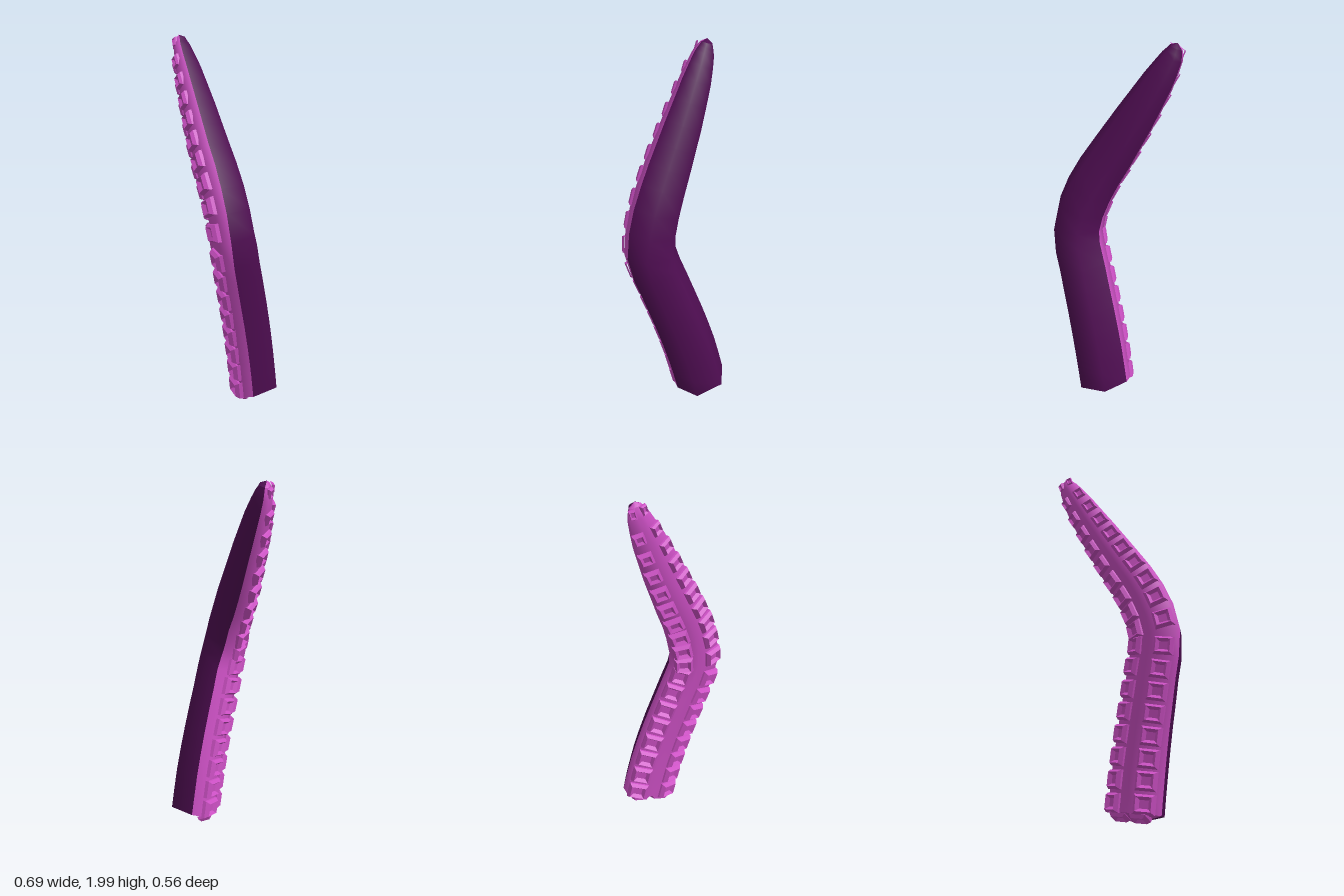
import * as THREE from 'three';

// Spine stations: x, y, z, radius
const STATIONS = [
  [0.13, 0.08, -0.135, 0.148], [0.145, 0.3, -0.087, 0.147], [0.165, 0.53, -0.022, 0.143],
  [0.188, 0.77, 0.057, 0.139], [0.202, 0.98, 0.12, 0.137], [0.13, 1.2, 0.118, 0.132],
  [0.015, 1.4, 0.093, 0.122], [-0.1, 1.6, 0.06, 0.106], [-0.212, 1.8, 0.029, 0.083],
  [-0.28, 1.93, 0.011, 0.056], [-0.297, 1.98, 0.003, 0.032],
];
// Half profiles across the arm, in radii: (width, towards the sucker side)
const BACK = [[1, 0], [0.53, -0.9], [-0.53, -0.9], [-1, 0]];
const BELLY = [[-1, 0], [-0.97, 0.44], [-0.3, 0.7], [0, 0.66], [0.3, 0.7], [0.97, 0.44], [1, 0]];

const spine = new THREE.CatmullRomCurve3(STATIONS.map(([x, y, z]) => new THREE.Vector3(x, y, z)));

// Local frame and radius of the arm at curve parameter t
function frameAt(t) {
  const f = t * (STATIONS.length - 1);
  const i = Math.min(Math.floor(f), STATIONS.length - 2);
  const tan = spine.getTangent(t);
  const out = new THREE.Vector3(-1, 0, 1).normalize();
  out.addScaledVector(tan, -out.dot(tan)).normalize();
  return {
    pos: spine.getPoint(t), tan, out,
    wide: new THREE.Vector3().crossVectors(tan, out),
    r: THREE.MathUtils.lerp(STATIONS[i][3], STATIONS[i + 1][3], f - i),
  };
}

const place = (f, w, n) =>
  f.pos.clone().addScaledVector(f.wide, w * f.r).addScaledVector(f.out, n * f.r);

// Skin a list of equally long rows of points
function loft(rows) {
  const m = rows[0].length;
  const index = [];
  for (let i = 0; i < rows.length - 1; i++) {
    for (let j = 0; j < m - 1; j++) {
      const a = i * m + j, c = a + m;
      index.push(a, a + 1, c, a + 1, c + 1, c);
    }
  }
  const geo = new THREE.BufferGeometry().setFromPoints(rows.flat());
  geo.setIndex(index);
  geo.computeVertexNormals();
  return geo;
}

export function createModel() {
  const group = new THREE.Group();
  const dark = new THREE.MeshStandardMaterial({ color: 0x4e0d51 });
  const pink = new THREE.MeshStandardMaterial({ color: 0xcc50c4 });
  const suckerPink = pink.clone();
  suckerPink.flatShading = true;

  const add = (geo, mat, name) => {
    const mesh = new THREE.Mesh(geo, mat);
    mesh.name = name;
    group.add(mesh);
    return mesh;
  };

  // Dark back and pink belly, each with its end caps
  const frames = Array.from({ length: 21 }, (_, i) => frameAt(i / 20));
  const root = new THREE.Vector3(0.125, 0.035, -0.15);
  const tip = new THREE.Vector3(-0.304, 2.0, 0.004);
  for (const [name, profile, mat] of [['back', BACK, dark], ['belly', BELLY, pink]]) {
    const rows = frames.map((f) => profile.map(([w, n]) => place(f, w, n)));
    add(loft(rows), mat, name + 'Skin');
    add(loft([profile.map(() => root), rows[0]]), mat, name + 'RootCap');
    add(loft([rows[rows.length - 1], profile.map(() => tip)]), mat, name + 'TipCap');
  }

  // Square sucker with sloped walls and a sunken middle; unit half width and height
  const suckerGeo = new THREE.LatheGeometry(
    [[1, -0.4], [0.97, 0.3], [0.72, 1], [0.42, 0.35], [0, 0.35]]
      .map(([r, y]) => new THREE.Vector2(r * Math.SQRT2, y)),
    4, Math.PI / 4);

  const addSucker = (pos, side, up, halfWidth, height, halfLength) => {
    const mesh = add(suckerGeo, suckerPink, 'sucker');
    mesh.position.copy(pos);
    const z = new THREE.Vector3().crossVectors(side, up);
    mesh.quaternion.setFromRotationMatrix(new THREE.Matrix4().makeBasis(side, up, z));
    mesh.scale.set(halfWidth, height, halfLength);
  };

  // Two columns of suckers on the sloping sides of the belly
  const rowsCount = 18;
  const tilt = Math.PI / 8.5;
  for (let i = 0; i < rowsCount; i++) {
    const f = frameAt(spine.getUtoTmapping(0.022 + 0.965 * (i / (rowsCount - 1))));
    for (const k of [-1, 1]) {
      const up = f.out.clone().applyAxisAngle(f.tan, k * tilt);
      const side = f.wide.clone().applyAxisAngle(f.tan, k * tilt);
      addSucker(place(f, k * 0.64, 0.57), side, up, 0.39 * f.r, 0.006 + 0.16 * f.r, 0.014 + 0.25 * f.r);
    }
  }

  // Last pair, folded under the root
  const f0 = frames[0];
  for (const k of [-1, 1]) {
    const up = f0.out.clone().multiplyScalar(0.5).sub(f0.tan).normalize();
    const pos = place(f0, k * 0.42, 0.42).addScaledVector(f0.tan, -0.012);
    addSucker(pos, f0.wide, up, 0.05, 0.026, 0.035);
  }
  return group;
}
